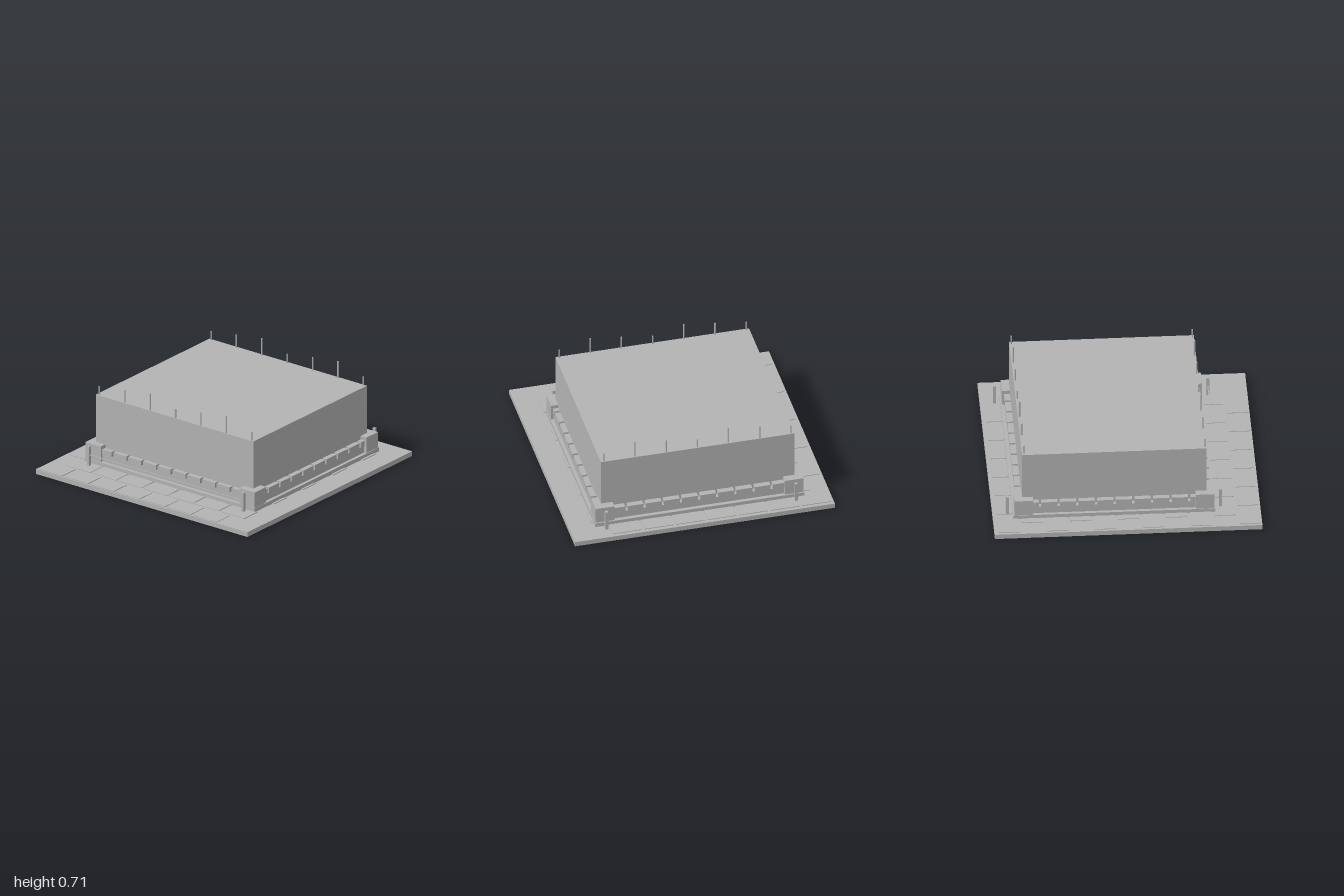
import * as THREE from 'three';

export function createModel() {
  const model = new THREE.Group();
  const stone = new THREE.MeshStandardMaterial({ color: 0xb3b3b3 });
  stone.name = 'grey stone';

  const add = (name, geometry, parent = model) => {
    const mesh = new THREE.Mesh(geometry, stone);
    mesh.name = name;
    parent.add(mesh);
    return mesh;
  };
  // Box given by its limits on each axis
  const box = (name, x0, x1, y0, y1, z0, z1, parent) =>
    add(name, new THREE.BoxGeometry(x1 - x0, y1 - y0, z1 - z0), parent)
      .position.set((x0 + x1) / 2, (y0 + y1) / 2, (z0 + z1) / 2);
  const group = (name) => {
    const g = new THREE.Group();
    g.name = name;
    model.add(g);
    return g;
  };

  // Ground slab with staggered paving
  box('groundSlab', -1, 1, 0, 0.038, -1, 1);
  const paving = group('paving');
  const pitchX = 0.243, pitchZ = 0.18;
  for (let row = 0; row < 11; row++) {
    const z = -0.97 + row * pitchZ;
    const start = -0.98 + (row % 2) * pitchX / 2;
    for (let i = 0; i < 7; i++) {
      const x = start + i * pitchX;
      box('pavingTile', x, x + 0.223, 0.03, 0.043, z, z + 0.16, paving);
    }
  }

  // Plinth and main block
  box('plinth', -0.805, 0.805, 0.036, 0.07, -0.85, 0.66);
  box('mainBlock', -0.745, 0.745, 0.038, 0.575, -0.78, 0.6);

  // Corner blocks
  for (const side of [-1, 1]) {
    const x0 = side < 0 ? -0.8 : 0.655;
    box('cornerBlock', x0, x0 + 0.145, 0.07, 0.195, 0.515, 0.655);
    box('cornerBlock', x0, x0 + 0.145, 0.07, 0.195, -0.84, -0.7);
  }

  // Low walls topped by rows of blocks with narrow slots
  const slotted = (name, from, to, firstSlot, place) => {
    const g = group(name);
    place(g, from, to, 0.07, 0.126, 0);
    let a = from;
    for (let i = 0; i < 9; i++) {
      const slot = firstSlot + i * 0.1395;
      place(g, a, slot - 0.009, 0.126, 0.167, 0.005);
      a = slot + 0.009;
    }
    place(g, a, to, 0.126, 0.167, 0.005);
  };
  slotted('frontWall', -0.655, 0.655, -0.558, (g, a, b, y0, y1, out) =>
    box('wallBlock', a, b, y0, y1, 0.59, 0.632 + out, g));
  slotted('backWall', -0.655, 0.655, -0.558, (g, a, b, y0, y1, out) =>
    box('wallBlock', a, b, y0, y1, -0.82 - out, -0.77, g));
  for (const side of [-1, 1]) {
    slotted(side > 0 ? 'leftWall' : 'rightWall', -0.7, 0.515, -0.648, (g, a, b, y0, y1, out) => {
      const inner = 0.735, outer = 0.78 + out;
      box('wallBlock', side > 0 ? inner : -outer, side > 0 ? outer : -inner, y0, y1, a, b, g);
    });
  }

  // Square posts, with a thin rail between the front pair
  for (const x of [-0.73, 0.73]) {
    for (const z of [-0.89, 0.703]) {
      box('post', x - 0.011, x + 0.011, 0.036, 0.195, z - 0.011, z + 0.011);
    }
  }
  box('frontRail', -0.73, 0.73, 0.123, 0.13, 0.6995, 0.7065);

  // Roof rods in three repeating heights
  const tops = [0.645, 0.678, 0.71];
  for (let i = 0; i < 7; i++) {
    const h = tops[i % 3] - 0.57;
    for (const z of [-0.767, 0.588]) {
      add('roofRod', new THREE.CylinderGeometry(0.006, 0.006, h, 6))
        .position.set((i - 3) * 0.24, 0.57 + h / 2, z);
    }
  }
  return model;
}
